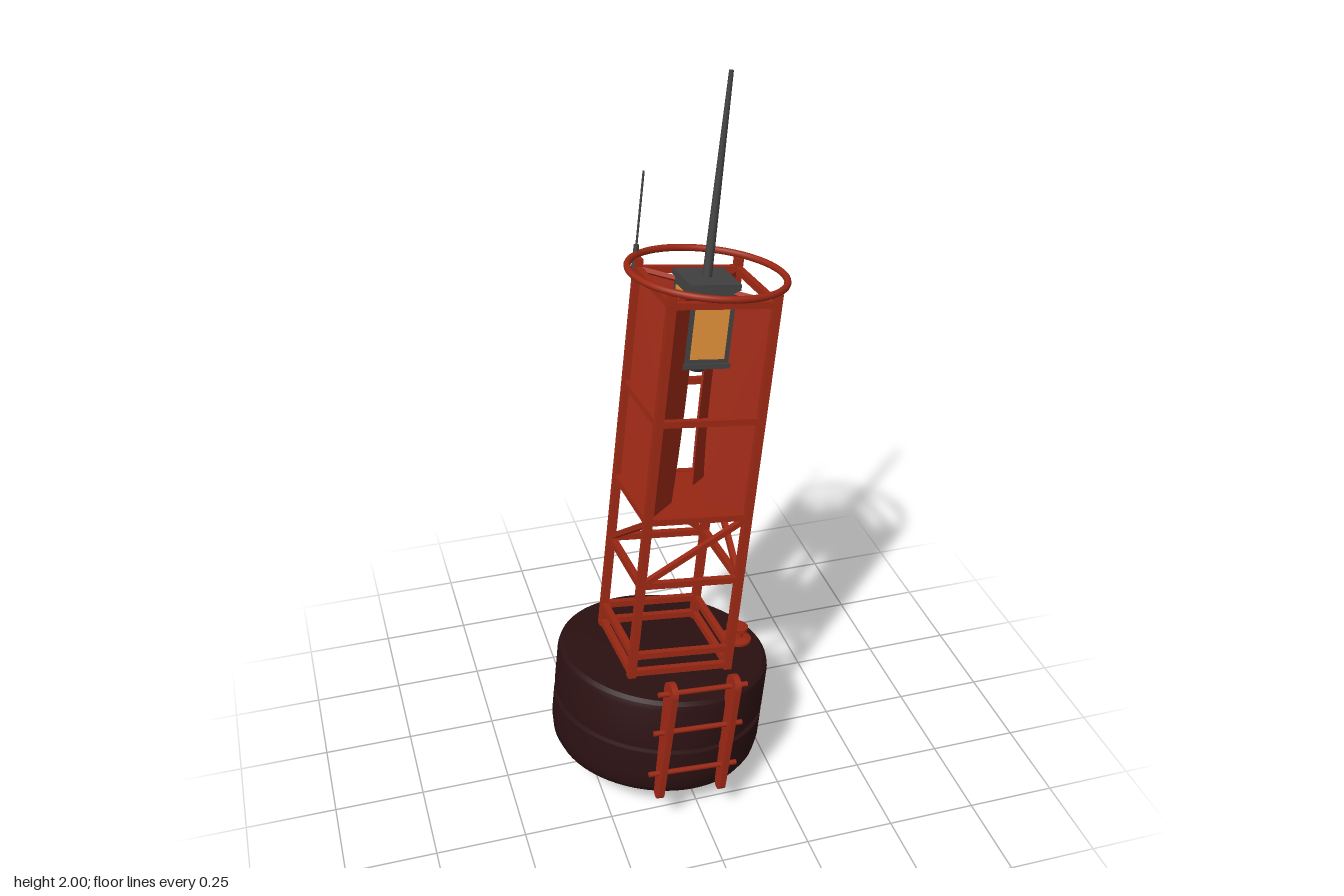
import * as THREE from 'three';
import { toCreasedNormals } from 'three/addons/utils/BufferGeometryUtils.js';

const mat = (name, color) => {
  const m = new THREE.MeshStandardMaterial({ color });
  m.name = name;
  return m;
};

export function createModel() {
  const red = mat('red paint', 0x9c2814);
  const hullMat = mat('dark hull', 0x2c1112);
  const grey = mat('dark grey metal', 0x424242);
  const amber = mat('amber glass', 0xe09038);

  const root = new THREE.Group();
  root.name = 'buoy';
  const buoy = new THREE.Group();
  buoy.name = 'tiltedBuoy';
  root.add(buoy);

  const add = (name, geo, material, x = 0, y = 0, z = 0, parent = buoy) => {
    const m = new THREE.Mesh(geo, material);
    m.name = name;
    m.position.set(x, y, z);
    parent.add(m);
    return m;
  };
  const UP = new THREE.Vector3(0, 1, 0);
  // Square or round bar between two points
  const bar = (name, a, b, t, parent = buoy, round = false, material = red) => {
    const p = new THREE.Vector3(...a), q = new THREE.Vector3(...b);
    const d = q.clone().sub(p), len = d.length();
    const geo = round ? new THREE.CylinderGeometry(t / 2, t / 2, len, 12) : new THREE.BoxGeometry(t, len, t);
    const m = add(name, geo, material, 0, 0, 0, parent);
    m.position.copy(p.add(q).multiplyScalar(0.5));
    m.quaternion.setFromUnitVectors(UP, d.normalize());
    return m;
  };

  // Float hull with a groove around the middle
  const profile = [[0, 0.04], [0.235, 0.04], [0.262, 0.05], [0.284, 0.066], [0.298, 0.09], [0.305, 0.13],
    [0.305, 0.205], [0.294, 0.21], [0.294, 0.224], [0.305, 0.229], [0.305, 0.345], [0.301, 0.36],
    [0.29, 0.369], [0, 0.37]].map(([r, h]) => new THREE.Vector2(r, h));
  add('hull', toCreasedNormals(new THREE.LatheGeometry(profile, 64), 0.6), hullMat);

  // Tower: four identical sides, each with post, rails, brace and reflector plate
  const S = 0.143;
  const plate = new THREE.Shape();
  plate.moveTo(0.068, 0.86);
  plate.lineTo(S * 1.414, 0.86);
  plate.lineTo(S * 1.414, 1.465);
  plate.lineTo(0.05, 1.465);
  plate.lineTo(0.05, 1.25);
  plate.quadraticCurveTo(0.05, 1.03, 0.068, 0.86);
  const plateGeo = new THREE.ExtrudeGeometry(plate, { depth: 0.006, bevelEnabled: false, curveSegments: 10 });
  plateGeo.translate(0, 0, -0.003);
  for (let k = 0; k < 4; k++) {
    const side = new THREE.Group();
    side.name = 'towerSide';
    side.rotation.y = k * Math.PI / 2;
    buoy.add(side);
    bar('post', [S, 0.36, S], [S, 1.495, S], 0.022, side);
    for (const h of [0.383, 0.437, 0.66, 0.855, 1.14, 1.465]) {
      bar('rail', [-S, h, S], [S, h, S], 0.018, side);
    }
    bar('brace', [-S, 0.66, S], [S, 0.85, S], 0.015, side);
    bar('roofStrut', [0.06, 1.465, 0.06], [S, 1.465, S], 0.013, side);
    add('reflectorPlate', plateGeo, red, 0, 0, 0, side).rotation.y = -Math.PI / 4;
  }
  add('platform', new THREE.BoxGeometry(2 * S, 0.012, 2 * S), red, 0, 0.855, 0);

  // Guard ring around the top
  add('guardRing', new THREE.TorusGeometry(0.21, 0.0095, 10, 64), red, 0, 1.503, 0).rotation.x = Math.PI / 2;

  // Lantern with an amber window on each side
  const lamp = new THREE.Group();
  lamp.name = 'lantern';
  buoy.add(lamp);
  add('lanternBody', new THREE.BoxGeometry(0.132, 0.215, 0.132), grey, 0, 1.373, 0, lamp);
  add('lanternCap', new THREE.BoxGeometry(0.142, 0.016, 0.142), grey, 0, 1.485, 0, lamp);
  add('lanternSill', new THREE.BoxGeometry(0.142, 0.014, 0.142), grey, 0, 1.268, 0, lamp);
  add('lanternFoot', new THREE.CylinderGeometry(0.045, 0.02, 0.03, 16), grey, 0, 1.247, 0, lamp);
  for (let k = 0; k < 4; k++) {
    const face = new THREE.Group();
    face.name = 'windowSide';
    face.rotation.y = k * Math.PI / 2;
    lamp.add(face);
    add('window', new THREE.BoxGeometry(k % 2 ? 0.075 : 0.095, 0.17, 0.006), amber, 0, 1.373, 0.067, face);
  }

  // Mast and thin whip aerial
  add('mast', new THREE.CylinderGeometry(0.006, 0.013, 0.535, 16), grey, 0, 1.757, 0);
  bar('whipAerial', [-0.15, 1.46, -0.15], [-0.15, 1.728, -0.15], 0.006, buoy, true, grey);
  add('whipBase', new THREE.CylinderGeometry(0.007, 0.009, 0.07, 10), grey, -0.15, 1.495, -0.15);

  // Boarding ladder: tapered rails with round tops
  const ladder = new THREE.Group();
  ladder.name = 'ladder';
  ladder.rotation.y = 0.05;
  buoy.add(ladder);
  const rail = new THREE.Shape();
  rail.moveTo(-0.018, 0.1);
  rail.absarc(0, 0.1, 0.018, Math.PI, 2 * Math.PI, false);
  rail.lineTo(0.031, 0.425);
  rail.absarc(0, 0.425, 0.031, 0, Math.PI, false);
  const railGeo = new THREE.ExtrudeGeometry(rail, { depth: 0.018, bevelEnabled: false, curveSegments: 12 });
  railGeo.translate(0, 0, -0.009);
  railGeo.rotateY(-Math.PI / 2);
  for (const x of [-0.105, 0.08]) add('ladderRail', railGeo, red, x, 0, 0.316, ladder);
  for (const h of [0.165, 0.3, 0.425]) {
    bar('rung', [-0.143, h, 0.318], [0.118, h, 0.318], 0.015, ladder, true);
  }

  // Mooring bollard on the deck
  const bollard = [[0, 0], [0.045, 0], [0.045, 0.01], [0.02, 0.016], [0.017, 0.034], [0.032, 0.038],
    [0.032, 0.048], [0, 0.05]].map(([r, h]) => new THREE.Vector2(r, h));
  add('bollard', toCreasedNormals(new THREE.LatheGeometry(bollard, 24), 0.6), red, 0.225, 0.367, 0);

  // Heel the whole buoy over
  const axis = new THREE.Vector3(0.1335, 1, -0.083).normalize();
  buoy.quaternion.setFromUnitVectors(UP, axis)
    .multiply(new THREE.Quaternion().setFromAxisAngle(UP, 0.03));
  buoy.position.set(-0.067, 0, 0.0125);
  return root;
}
